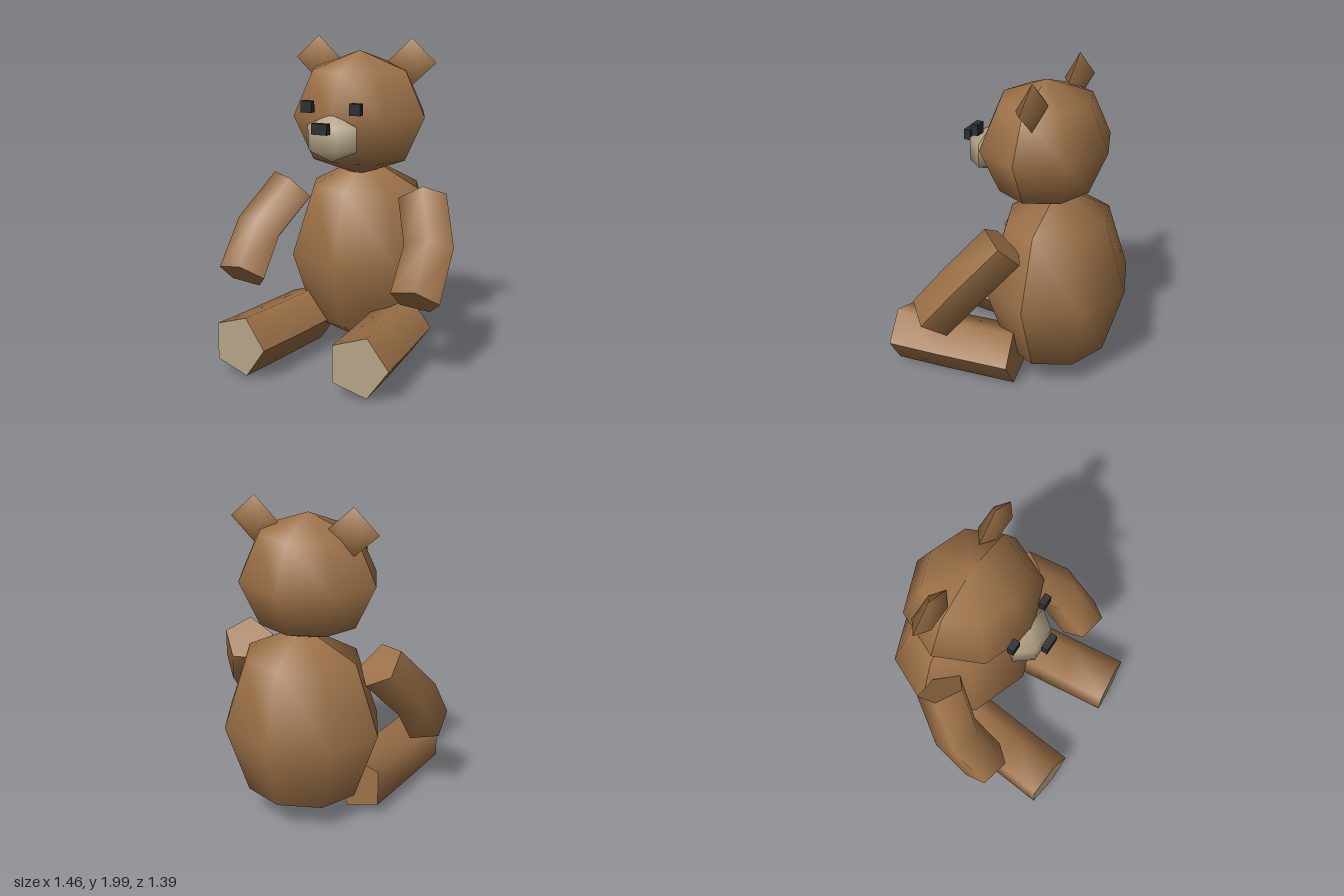
import * as THREE from 'three';
import { mergeVertices } from 'three/addons/utils/BufferGeometryUtils.js';

const material = (name, color) => {
  const m = new THREE.MeshStandardMaterial({ color });
  m.name = name;
  return m;
};

export function createModel() {
  const fur = material('brownFur', 0x9c7147);
  const pad = material('tanPad', 0xb5a486);
  const black = material('blackButton', 0x2b2d30);
  const model = new THREE.Group();

  const add = (name, geometry, mat, parent = model) => {
    const mesh = new THREE.Mesh(geometry, mat);
    mesh.name = name;
    parent.add(mesh);
    return mesh;
  };

  // Low-poly ellipsoid sewn from a front and a back half, with a crease at the seam
  const ellipsoid = (name, mat, center, radii, sides, rings) => {
    const group = new THREE.Group();
    group.name = name;
    group.position.set(...center);
    for (const half of [0, 1]) {
      let g = new THREE.SphereGeometry(1, sides / 2, rings, half * Math.PI, Math.PI);
      g.scale(...radii);
      g.deleteAttribute('uv');
      g.deleteAttribute('normal');
      g = mergeVertices(g, 1e-4);
      g.computeVertexNormals();
      add(name + (half ? 'Back' : 'Front'), g, mat, group);
    }
    model.add(group);
  };

  // Bent five-sided limb, smooth along its sides with a flat cap at each end
  const limb = (name, path, radius, endMat) => {
    const group = new THREE.Group();
    group.name = name;
    model.add(group);
    const points = path.map(p => new THREE.Vector3(...p));
    const rings = points.map((c, i) => {
      const t = points[Math.min(i + 1, points.length - 1)].clone()
        .sub(points[Math.max(i - 1, 0)]).normalize();
      const u = new THREE.Vector3(1, 0, 0).addScaledVector(t, -t.x).normalize();
      const v = t.clone().cross(u);
      return Array.from({ length: 6 }, (_, k) => {
        const a = k / 5 * Math.PI * 2;
        return c.clone().addScaledVector(u, radius * Math.cos(a)).addScaledVector(v, radius * Math.sin(a));
      });
    });
    const build = (vertices, index) => {
      const g = new THREE.BufferGeometry().setFromPoints(vertices);
      g.setIndex(index);
      g.computeVertexNormals();
      return g;
    };
    const index = [];
    for (let i = 0; i < rings.length - 1; i++) {
      for (let k = 0; k < 5; k++) {
        const a = i * 6 + k, b = a + 6;
        index.push(a, a + 1, b + 1, a, b + 1, b);
      }
    }
    add(name + 'Sides', build(rings.flat(), index), fur, group);
    add(name + 'Root', build(rings[0], [0, 2, 1, 0, 3, 2, 0, 4, 3]), fur, group);
    add(name + 'End', build(rings[rings.length - 1], [0, 1, 2, 0, 2, 3, 0, 3, 4]), endMat, group);
  };

  const box = (name, size, position) =>
    add(name, new THREE.BoxGeometry(...size), black).position.set(...position);

  // Body, head and muzzle
  const mid = -0.012;
  ellipsoid('body', fur, [mid, 0.63, -0.24], [0.51, 0.62, 0.45], 8, 4);
  ellipsoid('head', fur, [mid, 1.53, -0.15], [0.44, 0.39, 0.4], 8, 4);
  ellipsoid('muzzle', pad, [mid, 1.425, 0.22], [0.19, 0.145, 0.14], 6, 3);
  box('nose', [0.103, 0.065, 0.042], [mid, 1.498, 0.362]);

  // Paired parts
  for (const [side, s] of [['left', 1], ['right', -1]]) {
    ellipsoid(side + 'Ear', fur, [mid + s * 0.322, 1.855, -0.215], [0.16, 0.145, 0.073], 6, 2);
    box(side + 'Eye', [0.07, 0.07, 0.042], [mid + s * 0.163, 1.605, 0.224]);
    limb(side + 'Arm', [
      [mid + s * 0.452, 1.03, -0.1],
      [mid + s * 0.585, 0.78, 0.105],
      [mid + s * 0.59, 0.52, 0.312],
    ], 0.155, fur);
    limb(side + 'Leg', [
      [mid + s * 0.318, 0.207, -0.115],
      [mid + s * 0.366, 0.204, 0.36],
      [mid + s * 0.397, 0.207, 0.677],
    ], 0.19, pad);
  }
  return model;
}
